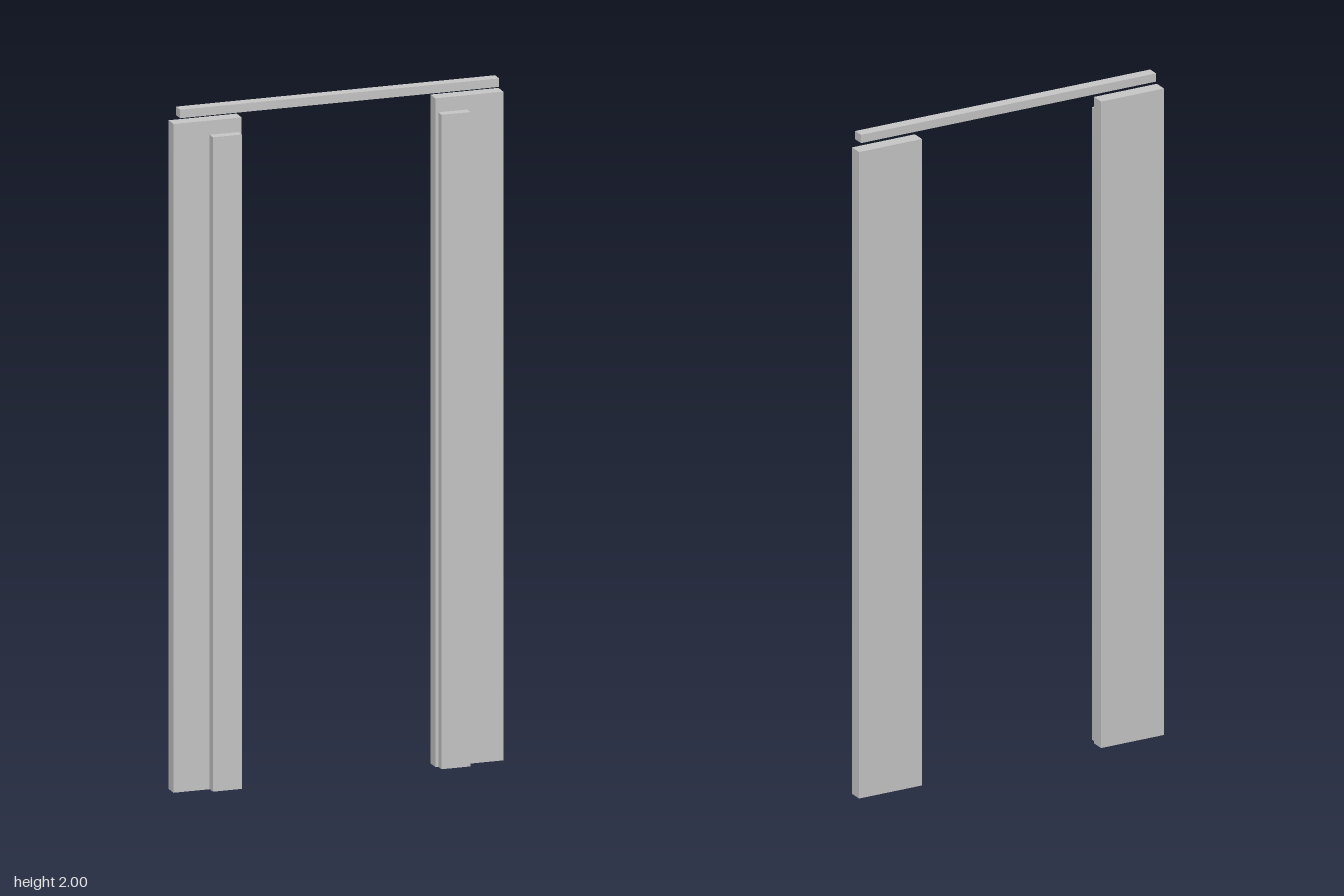
import * as THREE from 'three';

export function createModel() {
  const model = new THREE.Group();
  model.name = 'doorFrame';
  const grey = new THREE.MeshStandardMaterial({ color: 0xc8c8c8 });
  grey.name = 'lightGrey';

  // Box given by its minimum and maximum corners
  function addBox(name, [x0, y0, z0], [x1, y1, z1]) {
    const geometry = new THREE.BoxGeometry(Math.abs(x1 - x0), y1 - y0, z1 - z0);
    const mesh = new THREE.Mesh(geometry, grey);
    mesh.name = name;
    mesh.position.set((x0 + x1) / 2, (y0 + y1) / 2, (z0 + z1) / 2);
    model.add(mesh);
  }

  for (const [side, s] of [['left', 1], ['right', -1]]) {
    // Wide upright board and the narrower stop board on its front
    addBox(side + 'Jamb', [s * 0.289, 0, -0.034], [s * 0.492, 1.957, 0.007]);
    addBox(side + 'Stop', [s * 0.298, 0, 0.007], [s * 0.384, 1.915, 0.034]);
  }

  // Thin rail across the top, just clear of the uprights
  addBox('topRail', [-0.476, 1.975, -0.017], [0.476, 2, 0.017]);

  return model;
}
